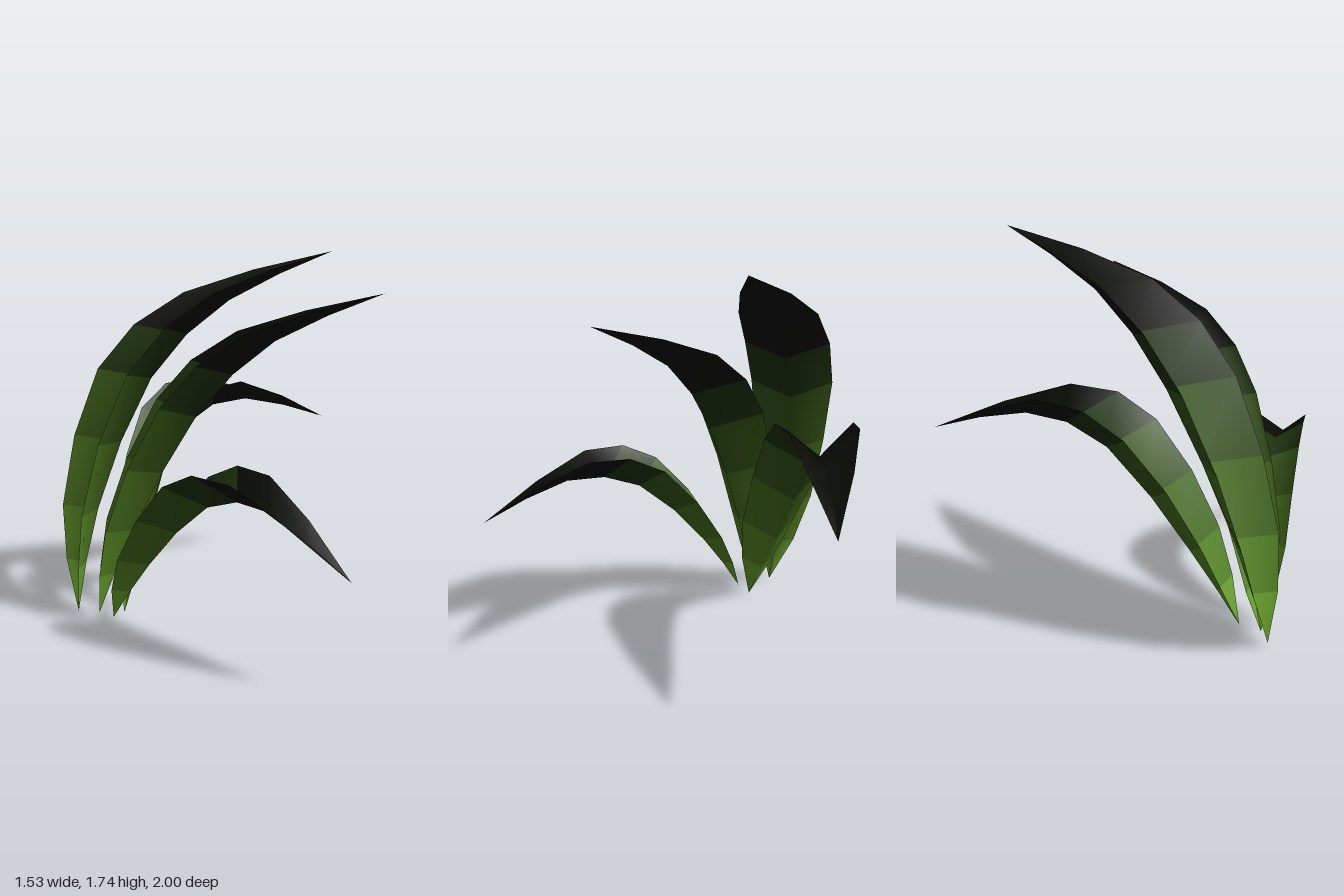
import * as THREE from 'three';

const ROWS = 8;
// Half width along a leaf, from base to tip
const WIDTH = [0, 0.45, 0.72, 0.88, 1, 1, 0.88, 0.52, 0];

// Green at the foot, fading to near black along the leaf
const materials = Array.from({ length: ROWS }, (_, i) => {
  const fade = Math.min(1, i / 4.5);
  const color = new THREE.Color(0x68a02c).lerp(new THREE.Color(0x070a05), Math.pow(fade, 0.7));
  return new THREE.MeshStandardMaterial({ color, side: THREE.DoubleSide });
});

const curve = (points) =>
  new THREE.CatmullRomCurve3(points.map((p) => new THREE.Vector3(...p)), false, 'catmullrom', 0.5);

// spine: line midway between the two edges; rib: the sunken fold; side: horizontal width direction
function makeLeaf({ name, base, tip, spine, rib, side, width }) {
  const spineCurve = curve([base, ...spine, tip]);
  const ribCurve = curve([base, ...rib, tip]);
  const across = new THREE.Vector3(side[0], 0, side[1]).normalize();
  const positions = [];
  const index = [];
  const geometry = new THREE.BufferGeometry();

  // V-shaped cross-sections: edge, rib, edge
  for (let i = 0; i <= ROWS; i++) {
    const centre = spineCurve.getPoint(i / ROWS);
    const half = width * WIDTH[i];
    positions.push(
      ...centre.clone().addScaledVector(across, half).toArray(),
      ...ribCurve.getPoint(i / ROWS).toArray(),
      ...centre.clone().addScaledVector(across, -half).toArray()
    );
  }
  for (let i = 0; i < ROWS; i++) {
    geometry.addGroup(index.length, 12, i);
    for (let j = 0; j < 2; j++) {
      const a = i * 3 + j;
      index.push(a, a + 3, a + 1, a + 1, a + 3, a + 4);
    }
  }
  geometry.setAttribute('position', new THREE.Float32BufferAttribute(positions, 3));
  geometry.setIndex(index);
  geometry.computeVertexNormals();
  const mesh = new THREE.Mesh(geometry, materials);
  mesh.name = name;
  return mesh;
}

const LEAVES = [
  {
    name: 'tallLeaf', width: 0.2, side: [0.36, 0.93],
    base: [-0.69, 0.02, -0.05], tip: [0.64, 1.75, -0.6],
    spine: [[-0.715, 0.5, -0.115], [-0.515, 1.16, -0.24], [-0.08, 1.54, -0.37]],
    rib: [[-0.59, 0.5, -0.17], [-0.32, 1.12, -0.33], [0.08, 1.5, -0.44]],
  },
  {
    name: 'middleLeaf', width: 0.18, side: [0, 1],
    base: [-0.59, 0.02, -0.01], tip: [0.76, 1.54, 0.03],
    spine: [[-0.55, 0.45, -0.01], [-0.3, 1.03, -0.015], [0.09, 1.36, 0]],
    rib: [[-0.42, 0.43, 0], [-0.12, 0.97, 0], [0.25, 1.32, 0]],
  },
  {
    name: 'backLeaf', width: 0.18, side: [0.59, 0.8],
    base: [-0.47, 0.01, -0.04], tip: [0.68, 0.82, -1],
    spine: [[-0.42, 0.45, -0.17], [-0.26, 0.94, -0.42], [0.06, 1.075, -0.665]],
    rib: [[-0.37, 0.38, -0.24], [-0.14, 0.85, -0.52], [0.2, 0.96, -0.74]],
  },
  {
    name: 'frontLeaf', width: 0.145, side: [-0.74, 0.67],
    base: [-0.52, 0.02, 0.05], tip: [0.4, 0.47, 1],
    spine: [[-0.42, 0.34, 0.125], [-0.19, 0.73, 0.33], [0.06, 0.79, 0.605]],
    rib: [[-0.35, 0.31, 0.17], [-0.1, 0.63, 0.4], [0.13, 0.67, 0.68]],
  },
];

export function createModel() {
  const group = new THREE.Group();
  group.name = 'leafTuft';
  for (const leaf of LEAVES) group.add(makeLeaf(leaf));
  return group;
}
